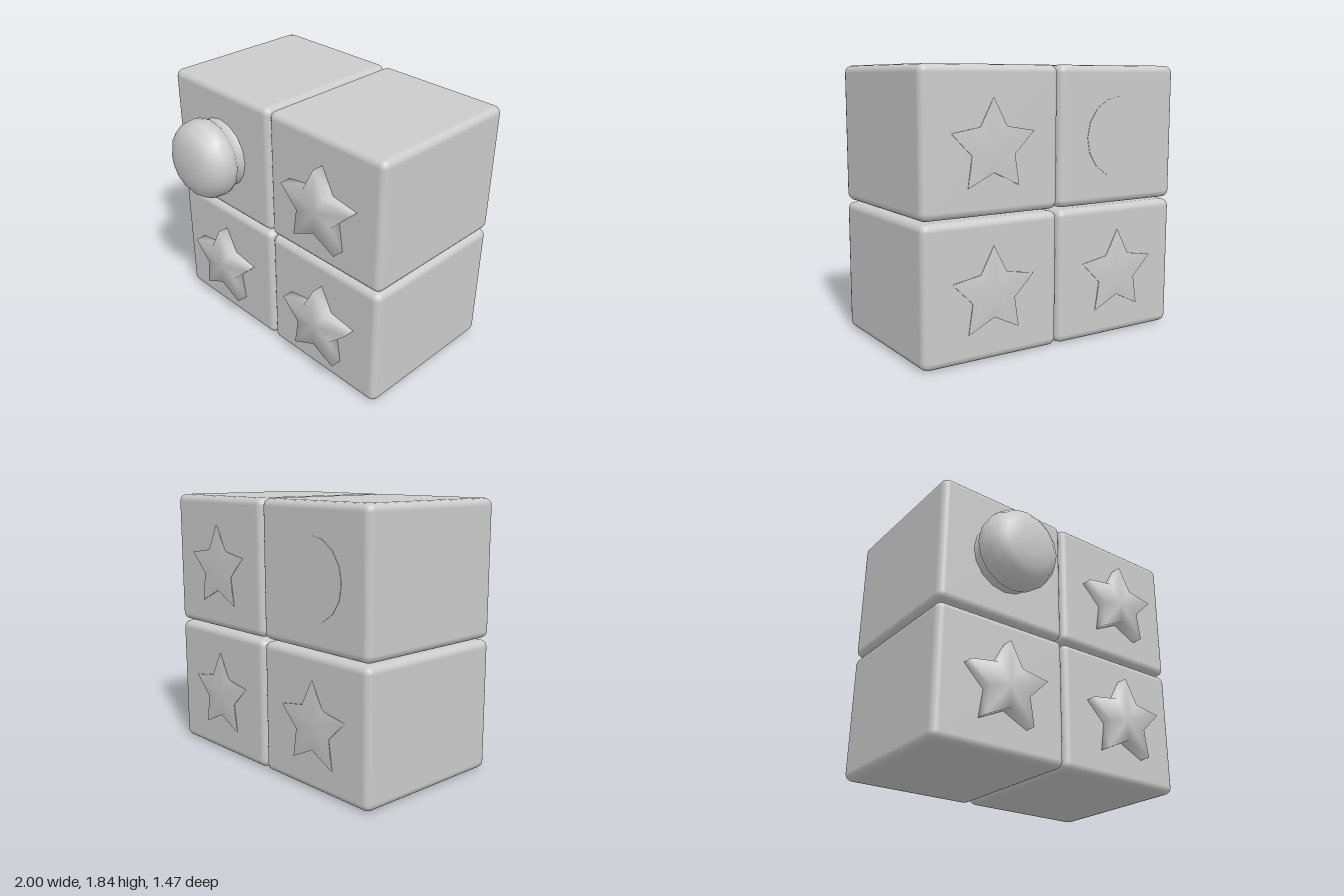
import * as THREE from 'three';
import { RoundedBoxGeometry } from 'three/addons/geometries/RoundedBoxGeometry.js';

const material = new THREE.MeshStandardMaterial({ color: 0xcccccc });

// Five-pointed star facing +z: side wall from z = 0 to rim, then a fan to the centre
function starGeometry(rim, centre) {
  const positions = [];
  const index = [];
  for (const z of [0, rim]) {
    for (let i = 0; i < 10; i++) {
      const a = Math.PI / 2 + (i * Math.PI) / 5;
      const r = i % 2 ? 0.155 : 0.3;
      positions.push(r * Math.cos(a) * 1.04, r * Math.sin(a), z);
    }
  }
  positions.push(0, 0, centre);
  for (let i = 0; i < 10; i++) {
    const j = (i + 1) % 10;
    index.push(i, j, 10 + j, i, 10 + j, 10 + i, 10 + i, 10 + j, 20);
  }
  const g = new THREE.BufferGeometry();
  g.setAttribute('position', new THREE.Float32BufferAttribute(positions, 3));
  g.setIndex(index);
  g.computeVertexNormals();
  return g;
}

// Round knob on a narrower neck, axis along +z
function knobGeometry() {
  const profile = [
    [0.25, 0], [0.24, 0.05], [0.275, 0.085], [0.285, 0.13], [0.278, 0.19],
    [0.245, 0.25], [0.19, 0.29], [0.1, 0.312], [0, 0.315],
  ].map(([r, h]) => new THREE.Vector2(r, h));
  return new THREE.LatheGeometry(profile, 16).rotateX(Math.PI / 2);
}

export function createModel() {
  const model = new THREE.Group();
  const front = 0.42, back = -0.72;

  const add = (parent, name, geometry, x, y, z, turned = false) => {
    const mesh = new THREE.Mesh(geometry, material);
    mesh.name = name;
    mesh.position.set(x, y, z);
    if (turned) mesh.rotation.y = Math.PI;
    parent.add(mesh);
  };

  for (const [row, y0, y1, starY] of [['lower', 0, 0.903, 0.43], ['upper', 0.915, 1.84, 1.34]]) {
    for (const side of [-1, 1]) {
      const block = new THREE.Group();
      block.name = `${row}${side > 0 ? 'Left' : 'Right'}Block`;
      model.add(block);
      const x = side * 0.5;

      // Rounded block body
      add(block, 'body', new RoundedBoxGeometry(0.995, y1 - y0, front - back, 2, 0.05),
        x, (y0 + y1) / 2, (front + back) / 2);

      if (row === 'upper' && side < 0) {
        // Knob in front, flush disc behind
        add(block, 'knob', knobGeometry(), x, 1.365, front);
        add(block, 'backDisc', new THREE.CylinderGeometry(0.27, 0.27, 0.006, 16).rotateX(Math.PI / 2),
          x, 1.365, back);
      } else {
        // Raised star in front, shallow star behind (ridged on the lower row)
        add(block, 'frontStar', starGeometry(0.08, 0.08), x, starY, front);
        const ridge = row === 'lower' ? 0.018 : 0.008;
        add(block, 'backStar', starGeometry(0.008, ridge), x, starY, back, true);
      }
    }
  }
  return model;
}
